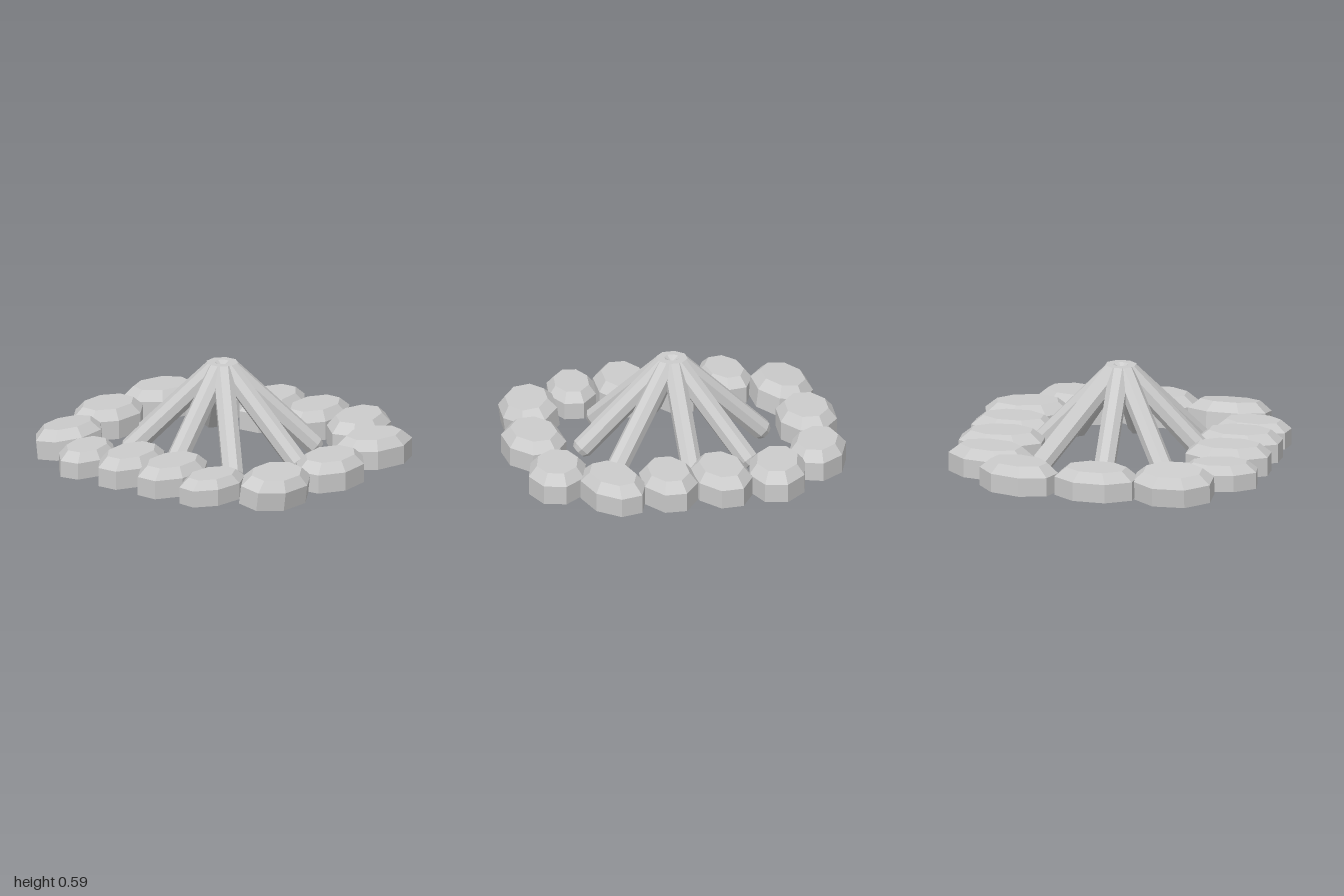
import * as THREE from 'three';

const SIDES = 8;
const material = new THREE.MeshStandardMaterial({ color: 0xcccccc, flatShading: true });

// Flat-shaded skin over closed rings of points, with a fan closing each end
function skin(rings, closeTop = true) {
  const pos = [];
  const tri = (...pts) => pts.forEach((p) => pos.push(p.x, p.y, p.z));
  const centre = (ring) =>
    ring.reduce((sum, p) => sum.add(p), new THREE.Vector3()).divideScalar(ring.length);
  const first = rings[0];
  const last = rings[rings.length - 1];
  const a = centre(first);
  const b = centre(last);
  for (let i = 0; i < SIDES; i++) {
    const j = (i + 1) % SIDES;
    for (let k = 0; k + 1 < rings.length; k++) {
      const lo = rings[k];
      const hi = rings[k + 1];
      tri(lo[i], lo[j], hi[j]);
      tri(lo[i], hi[j], hi[i]);
    }
    tri(a, first[j], first[i]);
    if (closeTop) tri(b, last[i], last[j]);
  }
  const geo = new THREE.BufferGeometry();
  geo.setAttribute('position', new THREE.Float32BufferAttribute(pos, 3));
  geo.computeVertexNormals();
  return geo;
}

const ring = (fn) =>
  Array.from({ length: SIDES }, (_, i) => fn(((i + 0.5) / SIDES) * Math.PI * 2));

// Stone: eight upright sides, a bevelled shoulder and a flat top
function stoneGeometry(halfWidth, halfLength, height) {
  const level = (scale, y) =>
    ring((a) => new THREE.Vector3(
      Math.sin(a) * halfWidth * scale * 1.07, y, Math.cos(a) * halfLength * scale * 1.07));
  return skin([level(1, 0), level(1, height * 0.66), level(0.72, height)]);
}

// Log: leans from the ground at the given reach to the apex, where it is cut level
const APEX = 0.6;
const FOOT = 0.06;
const RADIUS = 0.064;
function logGeometry(reach) {
  const foot = new THREE.Vector3(reach, FOOT, 0);
  const dir = new THREE.Vector3(-reach, APEX - FOOT, 0).normalize();
  const up = new THREE.Vector3(dir.y, -dir.x, 0);
  const point = (a, r, s) => foot.clone()
    .addScaledVector(dir, s)
    .addScaledVector(up, Math.cos(a) * r)
    .add(new THREE.Vector3(0, 0, -Math.sin(a) * r));
  const levelCut = (a) =>
    point(a, RADIUS, (APEX - FOOT - up.y * Math.cos(a) * RADIUS) / dir.y);
  return skin([
    ring((a) => point(a, RADIUS * 0.7, -0.01)),
    ring((a) => point(a, RADIUS, 0.02)),
    ring(levelCut),
  ], false);
}

export function createModel() {
  const group = new THREE.Group();
  const add = (parent, name, geometry) => {
    const mesh = new THREE.Mesh(geometry, material);
    mesh.name = name;
    parent.add(mesh);
    return mesh;
  };

  // Ring of stones: x, z, half width, half length, yaw and tilt in degrees
  const stones = new THREE.Group();
  stones.name = 'stoneRing';
  group.add(stones);
  [
    [-0.47, -0.69, 0.165, 0.25, -15, 0],
    [-0.13, -0.69, 0.165, 0.25, 2, 0],
    [0.19, -0.68, 0.16, 0.245, -3, 0],
    [0.52, -0.66, 0.165, 0.25, 13, 0],
    [0.80, -0.42, 0.165, 0.235, -17, 0],
    [0.825, 0.06, 0.175, 0.24, 2, 0],
    [0.735, 0.51, 0.165, 0.24, -5, -8],
    [0.435, 0.715, 0.14, 0.22, -9, 0],
    [0.13, 0.69, 0.16, 0.25, -3, 0],
    [-0.175, 0.68, 0.155, 0.25, 0, 0],
    [-0.49, 0.69, 0.14, 0.22, 7, 0],
    [-0.77, 0.465, 0.17, 0.235, 0, 7],
    [-0.82, 0.01, 0.17, 0.24, -5, 0],
    [-0.77, -0.465, 0.16, 0.235, -21, 0],
  ].forEach(([x, z, w, l, yaw, tilt]) => {
    const stone = add(stones, 'stone', stoneGeometry(w, l, w < 0.15 ? 0.15 : 0.17));
    stone.position.set(x, 0.03, z);
    stone.rotation.set(0, THREE.MathUtils.degToRad(yaw), THREE.MathUtils.degToRad(tilt));
  });

  // Leaning logs: direction in degrees and reach
  const logs = new THREE.Group();
  logs.name = 'logs';
  group.add(logs);
  [
    [0, 0.56], [39, 0.56], [90, 0.52], [132, 0.56],
    [180, 0.56], [219, 0.56], [270, 0.52], [312, 0.56],
  ].forEach(([angle, reach]) => {
    add(logs, 'log', logGeometry(reach)).rotation.y = THREE.MathUtils.degToRad(angle);
  });

  // Level top where the logs meet, with a shallow dimple
  const top = add(group, 'logTop', new THREE.LatheGeometry([
    new THREE.Vector2(0.095, APEX),
    new THREE.Vector2(0.046, APEX),
    new THREE.Vector2(0, APEX - 0.03),
  ], SIDES, Math.PI / SIDES));
  top.geometry = top.geometry.toNonIndexed();
  top.material = material.clone();
  top.material.side = THREE.DoubleSide;

  return group;
}
